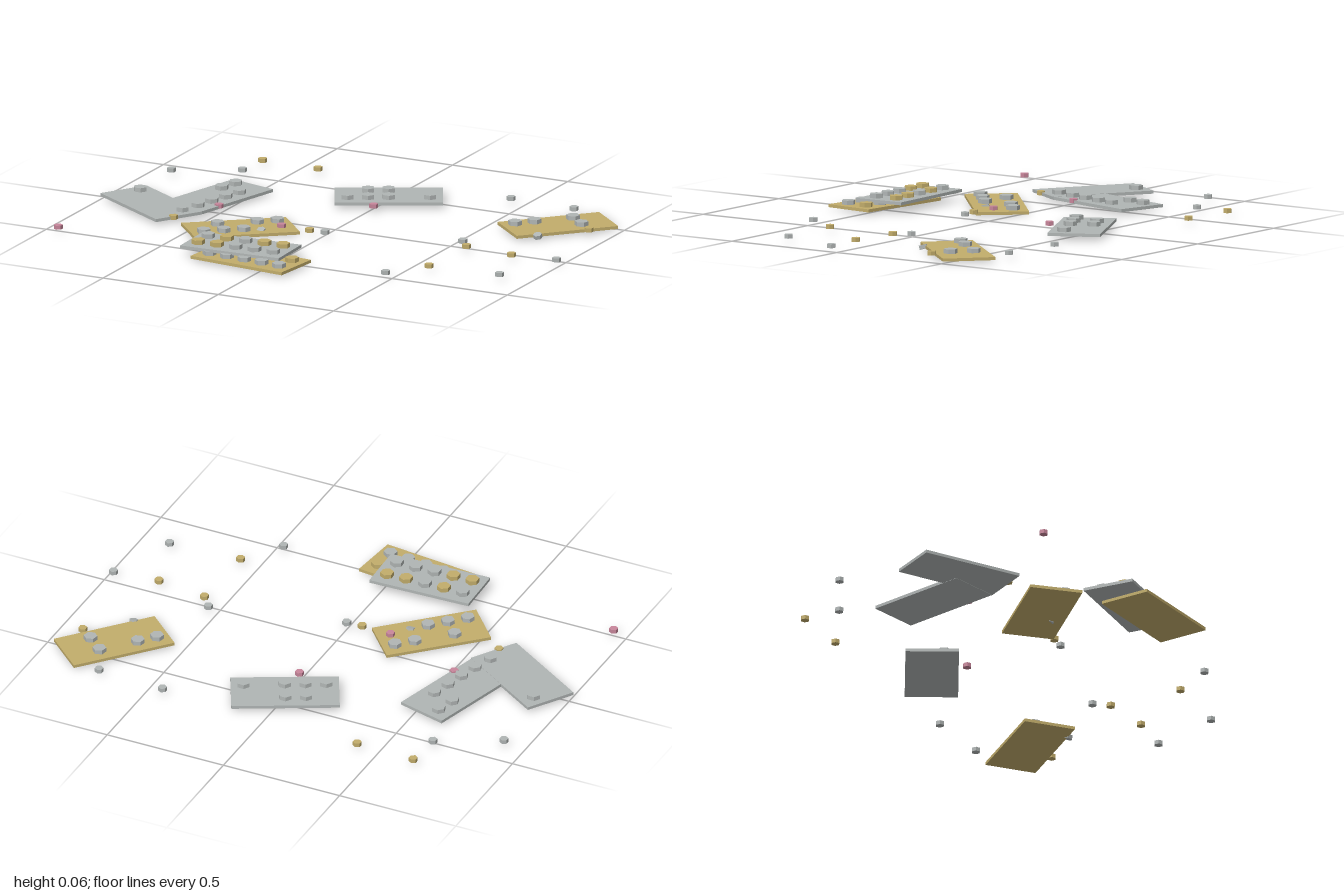
import * as THREE from 'three';

const mat = (name, color) => {
  const m = new THREE.MeshStandardMaterial({ color });
  m.name = name;
  return m;
};

export function createModel() {
  const root = new THREE.Group();
  root.name = 'scatteredPlates';
  const grey = mat('grey', 0xb0b5b4);
  const tan = mat('tan', 0xc2ad6b);
  const pink = mat('pink', 0xc8869b);
  const colours = { g: grey, t: tan, p: pink };

  const T = 0.012;                          // plate thickness
  const plateGeo = new THREE.BoxGeometry(0.42, T, 0.207);
  const hexPrism = (r, h) => {
    const g = new THREE.CylinderGeometry(r, r, h, 6).toNonIndexed();
    g.computeVertexNormals();               // crisp facets
    return g;
  };
  const studGeo = hexPrism(0.027, 0.017);
  const pegGeo = hexPrism(0.0175, 0.016);

  // Plate with a 5 x 2 stud grid; each letter is a stud colour, a dot is a gap
  function plate(name, material, x, y, z, turn, tilt, rows) {
    const g = new THREE.Group();
    g.name = name;
    g.position.set(x, y, z);
    g.rotation.set(0, turn, tilt);
    const base = new THREE.Mesh(plateGeo, material);
    base.name = 'plate';
    g.add(base);
    rows.forEach((row, r) => [...row].forEach((c, i) => {
      if (c === '.') return;
      const s = new THREE.Mesh(studGeo, colours[c]);
      s.name = 'stud';
      s.position.set((i - 2) * 0.08, T / 2 + 0.0085, (r - 0.5) * 0.092);
      g.add(s);
    }));
    root.add(g);
  }

  plate('stackedUpperPlate', grey, -0.16, 0.039, 0.493, 0.035, 0, ['gtgtt', 'ttggg']);
  plate('stackedLowerPlate', tan, -0.085, 0.014, 0.555, -0.107, 0, ['ggtgt', 'ggggg']);
  plate('backPlate', grey, 0.003, 0.017, -0.45, 0.474, 0, ['.gg..', 'ggg.g']);
  plate('rightTanPlate', tan, 0.76, 0.012, -0.405, 0.837, -0.01, ['gg.g.', '...g.']);
  plate('middleTanPlate', tan, -0.316, 0.011, 0.188, 0.734, -0.022, ['.g.gg', 'ggg..']);
  plate('leftLongPlate', grey, -0.588, 0.016, -0.145, 1.31, 0, ['...gg', 'gggg.']);
  plate('leftCrossPlate', grey, -0.77, 0.017, 0.057, -0.564, 0, ['g...g', '.....']);

  // Small loose pegs scattered around: x, z
  const loose = {
    g: [[-0.91, -0.39], [-0.665, -0.515], [0.44, -0.635], [0.72, -0.62], [0.54, -0.025],
      [0.98, 0.04], [0.875, 0.32], [0.47, 0.495], [0.008, 0.105]],
    t: [[-0.655, -0.668], [-0.41, -0.66], [0.905, -0.385], [0.585, 0.032], [0.793, 0.058],
      [0.578, 0.337], [-0.056, 0.11], [-0.607, 0.188]],
    p: [[0.013, -0.302], [-0.52, -0.03], [-0.18, 0.105], [-0.943, 0.51]],
  };
  for (const c in loose) {
    for (const [x, z] of loose[c]) {
      const m = new THREE.Mesh(pegGeo, colours[c]);
      m.name = 'loosePeg';
      m.position.set(x, 0.02, z);
      root.add(m);
    }
  }

  // Two tipped pegs partly caught in the tan plates
  for (const [x, y, z] of [[-0.23, 0.012, 0.18], [0.757, 0.013, -0.238]]) {
    const m = new THREE.Mesh(pegGeo, grey);
    m.name = 'tippedPeg';
    m.position.set(x, y, z);
    m.rotation.x = 0.3;
    root.add(m);
  }
  return root;
}
